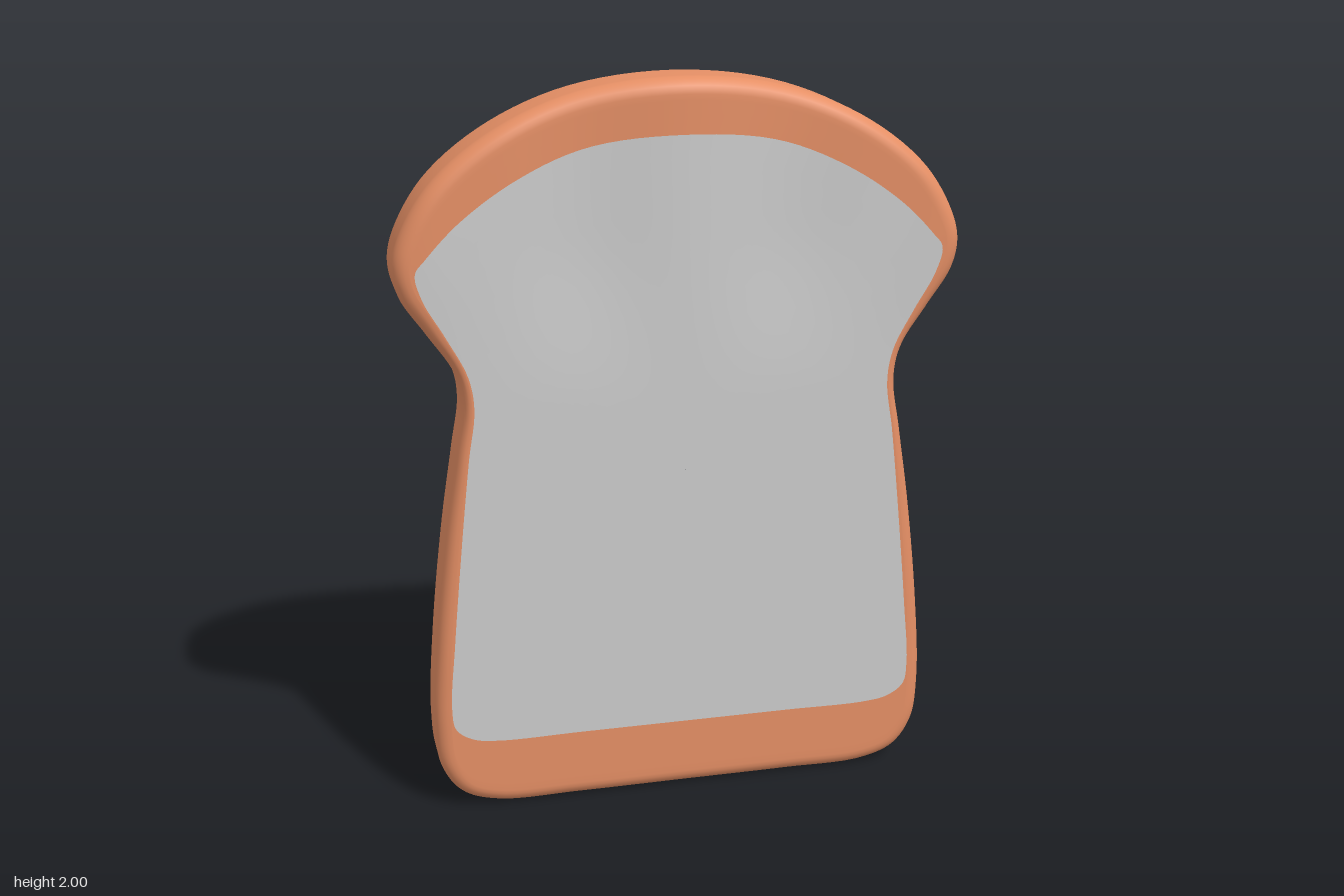
import * as THREE from 'three';

const N = 224; // points around the outline
const FRONT = 0.098, BACK = -0.078;
const step = THREE.MathUtils.smoothstep;

// Half outlines from bottom centre to top centre; both have matching points
const crustHalf = [[0, 0], [0.3, 0], [0.53, 0.004], [0.63, 0.04], [0.685, 0.12], [0.7, 0.25],
  [0.685, 0.5], [0.65, 0.8], [0.615, 1.02], [0.594, 1.16], [0.61, 1.25], [0.68, 1.36],
  [0.745, 1.46], [0.762, 1.54], [0.742, 1.62], [0.66, 1.75], [0.5, 1.875], [0.28, 1.965], [0, 2]];
const crumbHalf = [[0, 0.2], [0.3, 0.2], [0.53, 0.2], [0.6, 0.212], [0.645, 0.245], [0.655, 0.31],
  [0.64, 0.5], [0.61, 0.8], [0.585, 1.02], [0.566, 1.16], [0.58, 1.25], [0.635, 1.36],
  [0.69, 1.46], [0.706, 1.53], [0.68, 1.565], [0.59, 1.655], [0.44, 1.755], [0.25, 1.83], [0, 1.855]];

// Mirror a half outline and sample it as a closed smooth loop
function loop(half) {
  const mirrored = half.slice(1, -1).reverse().map(([x, y]) => [-x, y]);
  const pts = [...half, ...mirrored].map(([x, y]) => new THREE.Vector3(x, y, 0));
  const curve = new THREE.CatmullRomCurve3(pts, true, 'centripetal');
  return Array.from({ length: N }, (_, i) => curve.getPoint(i / N));
}

// Gentle waviness of the two faces in the upper part of the slice
function warpZ(x, y, z) {
  const a = Math.abs(x);
  const wave = a < 0.56 ? (1 - Math.cos(2 * Math.PI * a / 0.56)) / 2 : 0;
  const front = (-0.018 * wave + 0.01 * step(a, 0.5, 0.7)) * step(y, 1.15, 1.6);
  const back = (-0.025 - 0.008 * wave + 0.008 * step(a, 0.45, 0.75)) * step(y, 1.1, 1.85);
  return z + THREE.MathUtils.lerp(back, front, (z - BACK) / (FRONT - BACK));
}

// Skin a list of closed rings with quads
function loft(rings) {
  const pos = [], index = [];
  for (const ring of rings) for (const p of ring) pos.push(p.x, p.y, warpZ(p.x, p.y, p.z));
  for (let j = 0; j < rings.length - 1; j++) {
    for (let i = 0; i < N; i++) {
      const a = j * N + i, b = j * N + (i + 1) % N;
      index.push(a, b, b + N, a, b + N, a + N);
    }
  }
  const g = new THREE.BufferGeometry();
  g.setAttribute('position', new THREE.Float32BufferAttribute(pos, 3));
  g.setIndex(index);
  g.computeVertexNormals();
  return g;
}

export function createModel() {
  const group = new THREE.Group();
  group.name = 'breadSlice';
  const outer = loop(crustHalf), inner = loop(crumbHalf);

  // Inward direction and edge-rounding radius at each outline point
  const inward = outer.map((p, i) => {
    const t = outer[(i + 1) % N].clone().sub(outer[(i + N - 1) % N]).normalize();
    return new THREE.Vector3(-t.y, t.x, 0);
  });
  const radius = outer.map((p, i) => Math.min(0.042, 0.8 * p.distanceTo(inner[i])));

  // Crust: face band, rounded edge, side wall, rounded edge, face band
  const roundRing = (angle, side) => outer.map((p, i) => {
    const q = p.clone().addScaledVector(inward[i], radius[i] * (1 - Math.cos(angle)));
    q.z = (side > 0 ? FRONT : BACK) - side * 0.042 * (1 - Math.sin(angle));
    return q;
  });
  const bandRing = (side, k) => roundRing(Math.PI / 2, side).map((p, i) => {
    const q = p.clone().lerp(inner[i], k);
    q.z = side > 0 ? FRONT : BACK;
    return q;
  });
  const halfRings = (side) => {
    const rings = [0, 1, 2, 3, 4, 5, 6].map((k) => roundRing(k / 6 * Math.PI / 2, side));
    for (const k of [0.15, 0.5, 1]) rings.push(bandRing(side, k));
    return rings;
  };
  const crust = new THREE.Mesh(loft([...halfRings(-1).reverse(), ...halfRings(1)]),
    new THREE.MeshStandardMaterial({ color: 0xe58f65 }));
  crust.name = 'crust';
  group.add(crust);

  // Crumb: both faces filled with rings shrinking towards the middle
  const crumbMaterial = new THREE.MeshStandardMaterial({ color: 0xcccccc });
  for (const side of [-1, 1]) {
    const rings = [];
    for (let k = 0; k <= 14; k++) {
      const s = Math.max(1 - k / 14, 0.001);
      rings.push(inner.map((p) => new THREE.Vector3(p.x * s, 0.95 + (p.y - 0.95) * s, side > 0 ? FRONT : BACK)));
    }
    if (side < 0) rings.reverse();
    const crumb = new THREE.Mesh(loft(rings), crumbMaterial);
    crumb.name = side > 0 ? 'frontCrumb' : 'backCrumb';
    group.add(crumb);
  }
  return group;
}
